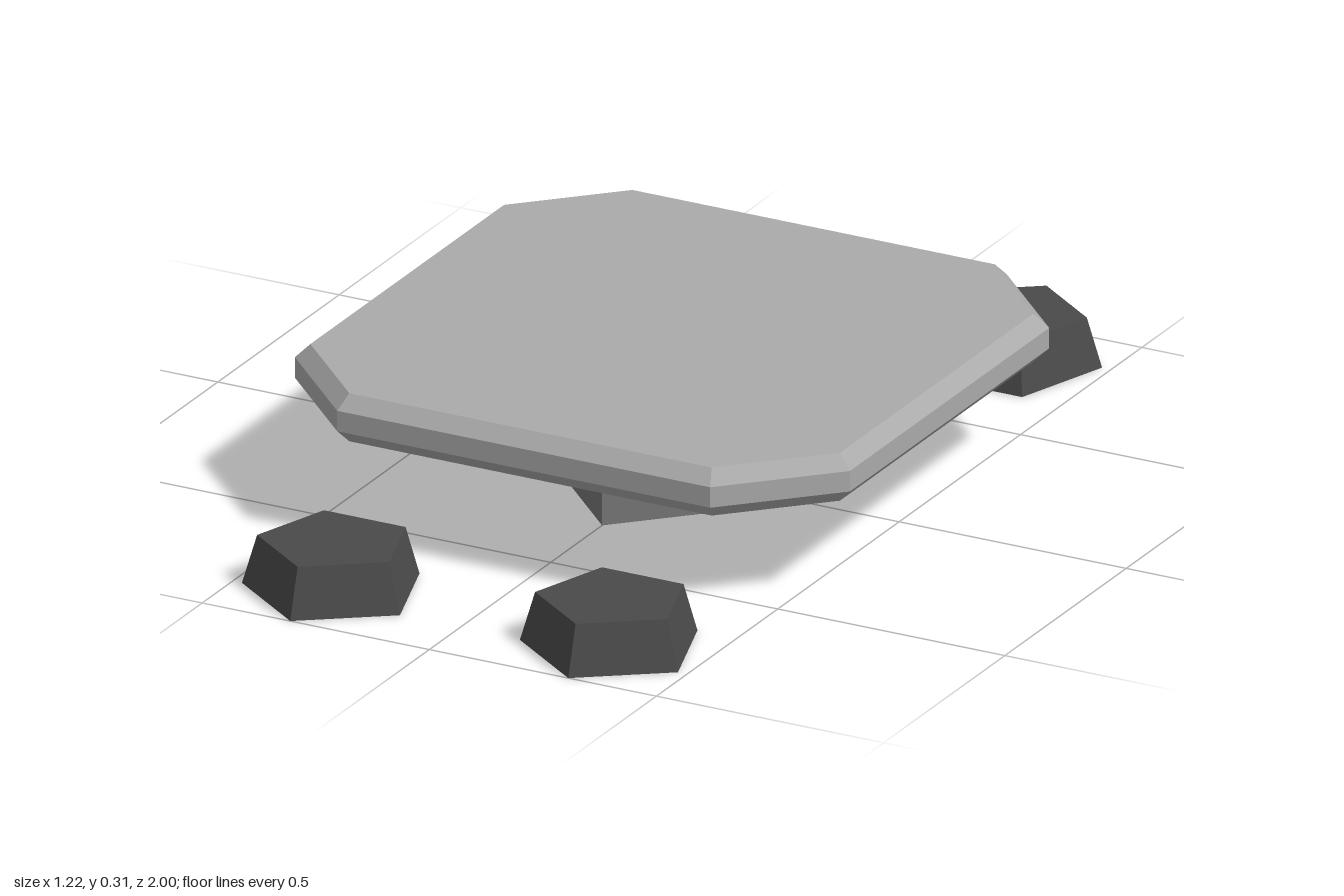
import * as THREE from 'three';

export function createModel() {
  const group = new THREE.Group();
  const material = (name, color) => {
    const m = new THREE.MeshStandardMaterial({ color, flatShading: true });
    m.name = name;
    return m;
  };
  const slabGrey = material('light grey', 0xaaaaaa);
  const pedestalGrey = material('mid grey', 0x777777);
  const seatGrey = material('dark grey', 0x4a4a4a);

  const add = (name, geometry, mat, x = 0, y = 0, z = 0) => {
    const mesh = new THREE.Mesh(geometry, mat);
    mesh.name = name;
    mesh.position.set(x, y, z);
    group.add(mesh);
    return mesh;
  };

  // Table top: square with cut corners and bevelled rims
  const a = 0.583, b = 0.399;
  const outline = new THREE.Shape([
    [a, -b], [a, b], [b, a], [-b, a], [-a, b], [-a, -b], [-b, -a], [b, -a],
  ].map(([x, y]) => new THREE.Vector2(x, y)));
  const top = new THREE.ExtrudeGeometry(outline, {
    depth: 0.043, bevelEnabled: true, bevelSegments: 1, bevelSize: 0.028, bevelThickness: 0.029,
  });
  top.rotateX(-Math.PI / 2);
  add('tableTop', top, slabGrey, 0, 0.236, 0);

  // Square pedestal turned corner-on
  add('pedestal', new THREE.CylinderGeometry(0.288, 0.288, 0.208, 4), pedestalGrey, 0, 0.104, 0);

  // Four tapered five-sided seats, points facing outward
  const seat = new THREE.CylinderGeometry(0.153, 0.183, 0.103, 5);
  for (const side of [1, -1]) {
    for (const end of [1, -1]) {
      const name = (end > 0 ? 'front' : 'back') + (side > 0 ? 'Left' : 'Right') + 'Seat';
      const mesh = add(name, seat, seatGrey, side * 0.306, 0.0515, end * 0.817);
      mesh.rotation.y = end > 0 ? 0 : Math.PI;
    }
  }
  return group;
}
